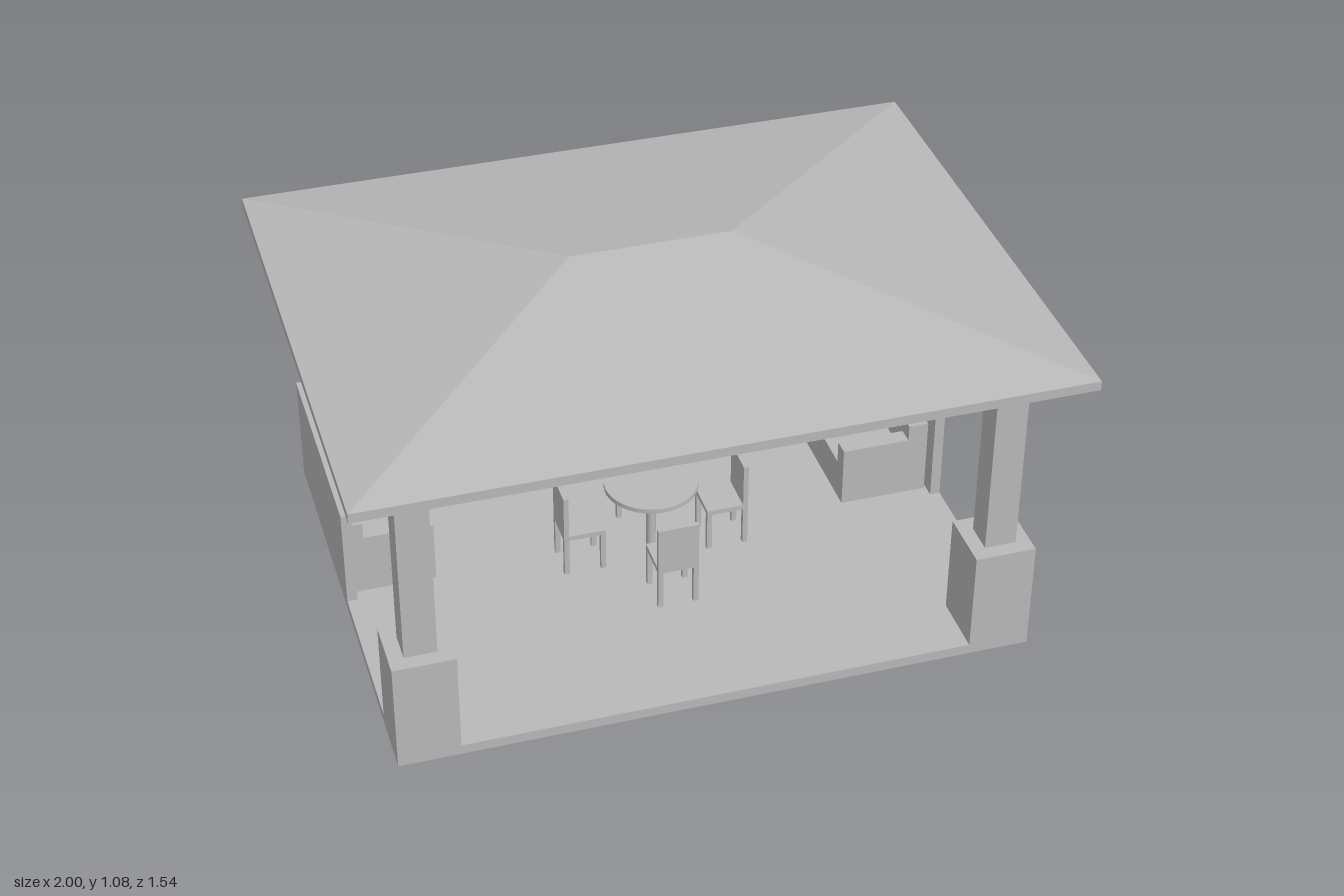
import * as THREE from 'three';

const grey = new THREE.MeshStandardMaterial({ color: 0xb8b8b8 });
grey.name = 'plain grey';
const greyShell = grey.clone();
greyShell.name = 'plain grey shell';
greyShell.side = THREE.DoubleSide;

// Box given by its minimum and maximum corners
function box(parent, name, x0, x1, y0, y1, z0, z1) {
  const mesh = new THREE.Mesh(new THREE.BoxGeometry(x1 - x0, y1 - y0, z1 - z0), grey);
  mesh.position.set((x0 + x1) / 2, (y0 + y1) / 2, (z0 + z1) / 2);
  mesh.name = name;
  parent.add(mesh);
}

// Hip roof: four flat slopes from the eaves to a short ridge
function hipRoof(w, d, ridge, y0, y1) {
  const a = [-w, y0, d], b = [w, y0, d], c = [w, y0, -d], e = [-w, y0, -d];
  const l = [-ridge, y1, 0], r = [ridge, y1, 0];
  const geo = new THREE.BufferGeometry();
  const corners = [a, b, r, a, r, l, b, c, r, c, e, l, c, l, r, e, a, l];
  geo.setAttribute('position', new THREE.Float32BufferAttribute(corners.flat(), 3));
  geo.computeVertexNormals();
  const mesh = new THREE.Mesh(geo, greyShell);
  mesh.name = 'roofSlopes';
  return mesh;
}

// Flat eave frame, open in the middle
function eaveFrame(w, d, innerW, innerD, y, h) {
  const rect = (T, x, z) => new T([
    new THREE.Vector2(-x, -z), new THREE.Vector2(x, -z),
    new THREE.Vector2(x, z), new THREE.Vector2(-x, z)]);
  const shape = rect(THREE.Shape, w, d);
  shape.holes.push(rect(THREE.Path, innerW, innerD));
  const geo = new THREE.ExtrudeGeometry(shape, { depth: h, bevelEnabled: false });
  geo.rotateX(-Math.PI / 2);
  const mesh = new THREE.Mesh(geo, grey);
  mesh.position.y = y;
  mesh.name = 'eaveFrame';
  return mesh;
}

// Chair standing on +z of the table, facing the table
function chair() {
  const g = new THREE.Group();
  g.name = 'chair';
  box(g, 'chairSeat', -0.06, 0.06, 0.152, 0.167, 0.153, 0.275);
  box(g, 'chairBack', -0.06, 0.06, 0.152, 0.303, 0.262, 0.277);
  for (const x of [-0.06, 0.045])
    for (const z of [0.153, 0.262]) box(g, 'chairLeg', x, x + 0.015, 0.03, 0.155, z, z + 0.015);
  return g;
}

// Sofa with its back at x = 0 and its front towards +x
function sofa() {
  const g = new THREE.Group();
  g.name = 'sofa';
  const depth = 0.263, front = -0.035, back = -0.5;
  box(g, 'sofaSeat', 0, depth, 0.03, 0.15, back, front);
  box(g, 'sofaBack', 0, 0.06, 0.03, 0.27, back, front);
  box(g, 'sofaArm', 0, depth, 0.03, 0.22, front - 0.05, front);
  box(g, 'sofaArm', 0, depth, 0.03, 0.22, back, back + 0.05);
  return g;
}

export function createModel() {
  const model = new THREE.Group();
  model.name = 'pavilion';
  const W = 0.905, D = 0.68;

  // Floor and low walls
  box(model, 'floor', -W, W, 0, 0.03, -D, D);
  box(model, 'backWall', -W, W, 0, 0.335, -D, -D + 0.03);
  box(model, 'rightWall', -W, -W + 0.03, 0, 0.335, -D, 0);
  box(model, 'leftWall', W - 0.03, W, 0, 0.335, -D, 0);

  // Corner plinths and columns
  for (const sx of [-1, 1]) {
    for (const sz of [-1, 1]) {
      const corner = (name, x0, x1, y0, y1, z0, z1) => box(model, name,
        Math.min(sx * x0, sx * x1), Math.max(sx * x0, sx * x1), y0, y1,
        Math.min(sz * z0, sz * z1), Math.max(sz * z0, sz * z1));
      corner('plinth', 0.73, W, 0, 0.335, 0.5, D);
      corner('column', 0.772, 0.863, 0.335, 0.915, 0.548, 0.636);
    }
  }

  // Beams between the columns
  for (const s of [-1, 1]) {
    const z = s * 0.604, x = s * 0.831;
    box(model, 'longBeam', -0.775, 0.775, 0.85, 0.915, z - 0.032, z + 0.032);
    box(model, 'crossBeam', x - 0.032, x + 0.032, 0.85, 0.915, -0.55, 0.55);
  }

  // Roof
  model.add(eaveFrame(1, 0.77, 0.8, 0.572, 0.913, 0.028));
  model.add(hipRoof(1, 0.77, 0.23, 0.941, 1.077));

  // Round table
  const top = new THREE.Mesh(new THREE.CylinderGeometry(0.137, 0.137, 0.014, 32), grey);
  top.position.y = 0.262;
  top.name = 'tableTop';
  const leg = new THREE.Mesh(new THREE.CylinderGeometry(0.014, 0.014, 0.23, 16), grey);
  leg.position.y = 0.142;
  leg.name = 'tableLeg';
  model.add(top, leg);

  // Four chairs around the table
  for (let i = 0; i < 4; i++) {
    const c = chair();
    c.rotation.y = i * Math.PI / 2;
    model.add(c);
  }

  // Two facing sofas
  const rightSofa = sofa();
  rightSofa.position.x = -0.9;
  const leftSofa = sofa();
  leftSofa.rotation.y = Math.PI;
  leftSofa.position.set(0.868, 0, -0.535);
  model.add(rightSofa, leftSofa);

  return model;
}
